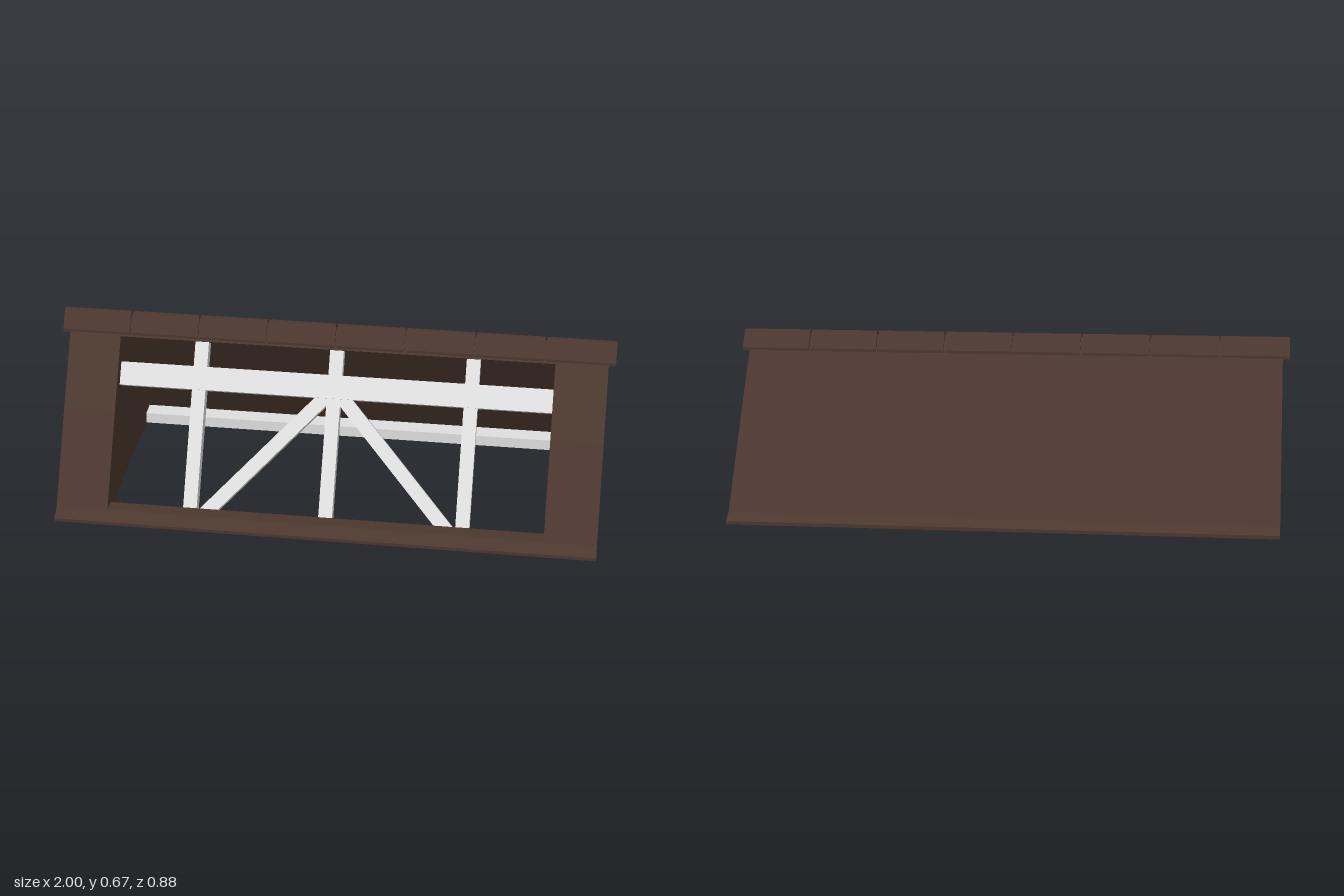
import * as THREE from 'three';

const brown = new THREE.MeshStandardMaterial({ color: 0x4b372e });
brown.name = 'dark brown roof';
const grey = new THREE.MeshStandardMaterial({ color: 0xdedede });
grey.name = 'pale timber';

// Extrudes a [z, y] profile along x from x0 to x1
function prism(name, points, x0, x1, material = brown) {
  const shape = new THREE.Shape(points.map(([z, y]) => new THREE.Vector2(z, y)));
  const geo = new THREE.ExtrudeGeometry(shape, { depth: x1 - x0, bevelEnabled: false });
  geo.rotateY(-Math.PI / 2).translate(x1, 0, 0);
  const mesh = new THREE.Mesh(geo, material);
  mesh.name = name;
  return mesh;
}

function box(name, w, h, d, x, y, z) {
  const mesh = new THREE.Mesh(new THREE.BoxGeometry(w, h, d), grey);
  mesh.name = name;
  mesh.position.set(x, y, z);
  return mesh;
}

export function createModel() {
  const model = new THREE.Group();
  model.name = 'roof';
  const END = 0.975, OPEN = 0.787;

  // Roof slab with flared eave, half section
  const eave = [[0.4, 0.06], [0.44, 0.037], [0.44, 0.025], [0.403, 0.025], [0.362, 0.045]];
  const slope = [[0, 0.655], [0.045, 0.596], [0.203, 0.362], ...eave, [0, 0.585]];
  model.add(prism('backSlope', slope.map(([z, y]) => [-z, y]), -END, END));

  // Front slope framing a wide opening
  model.add(prism('frontSlopeRight', slope, -END, -OPEN));
  model.add(prism('frontSlopeLeft', slope, OPEN, END));
  model.add(prism('openingHead', [[0, 0.655], [0.05, 0.589], [0.012, 0.567], [0, 0.585]], -OPEN, OPEN));
  model.add(prism('openingSill', [[0.397, 0.065], ...eave, [0.35, 0.065]], -OPEN, OPEN));

  // Recessed gable walls
  const gable = [[-0.376, 0.025], [0.376, 0.025], [0, 0.59]];
  model.add(prism('gableRight', gable, -0.88, -0.79));
  model.add(prism('gableLeft', gable, 0.79, 0.88));

  // Ridge cap in eight pieces
  const capHalf = [[0.006, 0.667], [0.024, 0.64], [0.046, 0.604], [0.046, 0.593], [0.036, 0.593]];
  const cap = [...capHalf, [0, 0.645], ...capHalf.map(([z, y]) => [-z, y]).reverse()];
  for (let i = 0; i < 8; i++) {
    const x = -1 + i * 0.25;
    model.add(prism('ridgeCap', cap, x + (i ? 0.003 : 0), x + (i < 7 ? 0.247 : 0.25)));
  }

  // Timber frame: local y runs up the front slope, local z points outward
  const frame = new THREE.Group();
  frame.name = 'timberFrame';
  frame.position.set(0, 0.025, 0.362);
  frame.rotation.x = -Math.atan2(0.365, 0.555);
  const T = 0.045;
  for (const x of [-0.495, 0, 0.495]) frame.add(box('rafter', 0.05, 0.625, T, x, 0.3325, -T / 2));
  for (const side of [-1, 1]) {
    const bottom = new THREE.Vector2(0.445, 0.018), top = new THREE.Vector2(0.03, 0.475);
    const run = top.clone().sub(bottom);
    const brace = box('brace', 0.05, run.length(), T - 0.002,
      side * (bottom.x + top.x) / 2, (bottom.y + top.y) / 2, -T / 2);
    brace.rotation.z = side * Math.atan2(-run.x, run.y);
    frame.add(brace);
  }
  frame.add(box('crossBeam', OPEN * 2, 0.085, 0.07, 0, 0.512, -0.028));
  model.add(frame);

  // Plate along the foot of the back slope
  model.add(box('backPlate', OPEN * 2, 0.042, 0.065, 0, 0.05, -0.305));
  return model;
}
